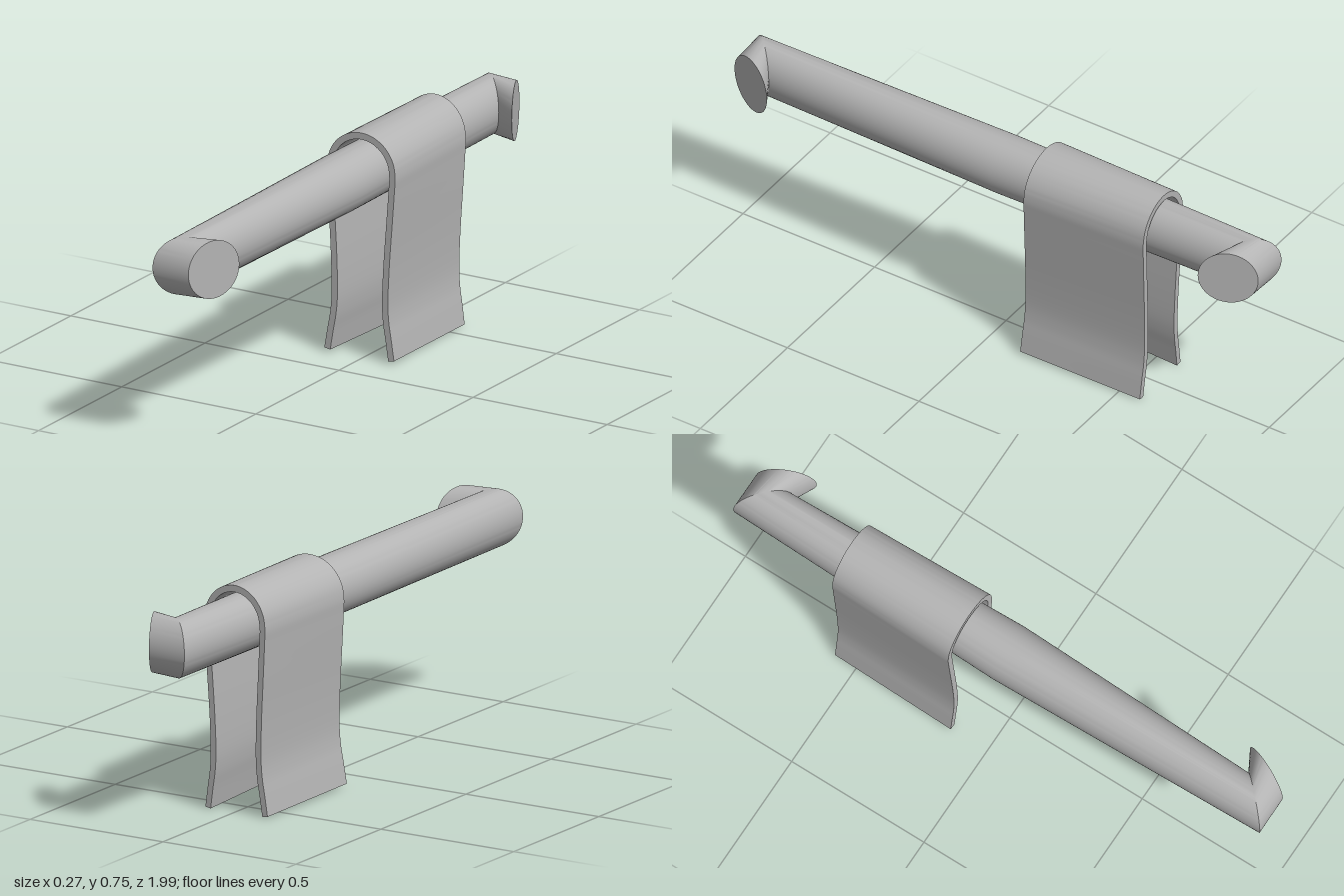
import * as THREE from 'three';
import { toCreasedNormals } from 'three/addons/utils/BufferGeometryUtils.js';

const gray = new THREE.MeshStandardMaterial({ color: 0xb4b4b4 });
gray.name = 'plain gray';

const R = 0.097, SEG = 64, BAR_Y = 0.628;

// Circular sections: centre (x, z) and horizontal direction (ux, uz) of each ring
function barGeometry() {
  const end = [
    { x: 0.096, z: 0.907, ux: 0.08, uz: -0.175 },
    { x: -0.008, z: 0.928, ux: 0.135, uz: -0.13 },
  ];
  const rings = [
    ...end.map((s) => ({ ...s, z: -s.z, uz: -s.uz })),
    { x: -0.008, z: 0, ux: 1, uz: 0 },
    end[1], end[0],
  ];
  const pos = [], index = [];
  for (const s of rings) {
    const len = Math.hypot(s.ux, s.uz);
    for (let j = 0; j < SEG; j++) {
      const a = (j / SEG) * Math.PI * 2, c = (R * Math.cos(a)) / len;
      pos.push(s.x + s.ux * c, BAR_Y + R * Math.sin(a), s.z + s.uz * c);
    }
  }
  for (let i = 0; i < rings.length - 1; i++) {
    for (let j = 0; j < SEG; j++) {
      const k = (j + 1) % SEG;
      const a = i * SEG + j, b = i * SEG + k, c = b + SEG, d = a + SEG;
      index.push(a, b, c, a, c, d);
    }
  }
  // Flat end discs
  const last = (rings.length - 1) * SEG, back = pos.length / 3, front = back + 1;
  pos.push(rings[0].x, BAR_Y, rings[0].z, end[0].x, BAR_Y, end[0].z);
  for (let j = 0; j < SEG; j++) {
    const k = (j + 1) % SEG;
    index.push(back, k, j, front, last + j, last + k);
  }
  const g = new THREE.BufferGeometry();
  g.setAttribute('position', new THREE.Float32BufferAttribute(pos, 3));
  g.setIndex(index);
  return toCreasedNormals(g, 0.5);
}

// Draped strip: a centre line thickened on both sides, then extruded along z
function towelGeometry() {
  const cx = -0.008, half = 0.011;
  const leg = [[0.119, 0.011], [0.108, 0.08], [0.098, 0.14], [0.094, 0.21],
    [0.098, 0.33], [0.107, 0.47], [0.114, 0.58]];
  const pts = leg.map(([x, y]) => new THREE.Vector2(cx - x, y));
  for (let i = 0; i <= 8; i++) {
    const a = Math.PI * (1 - i / 8);
    pts.push(new THREE.Vector2(cx + 0.116 * Math.cos(a), 0.63 + 0.116 * Math.sin(a)));
  }
  for (const [x, y] of [...leg].reverse()) pts.push(new THREE.Vector2(cx + x, y));

  const curve = new THREE.SplineCurve(pts), outer = [], inner = [], N = 110;
  for (let i = 0; i <= N; i++) {
    const p = curve.getPoint(i / N), t = curve.getTangent(i / N);
    outer.push(new THREE.Vector2(p.x - t.y * half, p.y + t.x * half));
    inner.push(new THREE.Vector2(p.x + t.y * half, p.y - t.x * half));
  }
  const shape = new THREE.Shape([...outer, ...inner.reverse()]);
  const g = new THREE.ExtrudeGeometry(shape, { depth: 0.446, bevelEnabled: false });
  g.translate(0, 0, -0.594);

  // Narrow towards the back and lean the hanging ends slightly forward
  const p = g.attributes.position;
  for (let i = 0; i < p.count; i++) {
    const x = p.getX(i), y = p.getY(i), z = p.getZ(i);
    const t = (-0.148 - z) / 0.446, low = 1 - y / 0.757;
    p.setXYZ(i, cx + (x - cx) * (1 - 0.1 * t), y + low * (0.006 - 0.009 * t), z + 0.014 * low);
  }
  return toCreasedNormals(g, 0.5);
}

export function createModel() {
  const model = new THREE.Group();
  model.name = 'towelRail';

  const bar = new THREE.Mesh(barGeometry(), gray);
  bar.name = 'bar';
  const towel = new THREE.Mesh(towelGeometry(), gray);
  towel.name = 'towel';
  model.add(bar, towel);
  return model;
}
